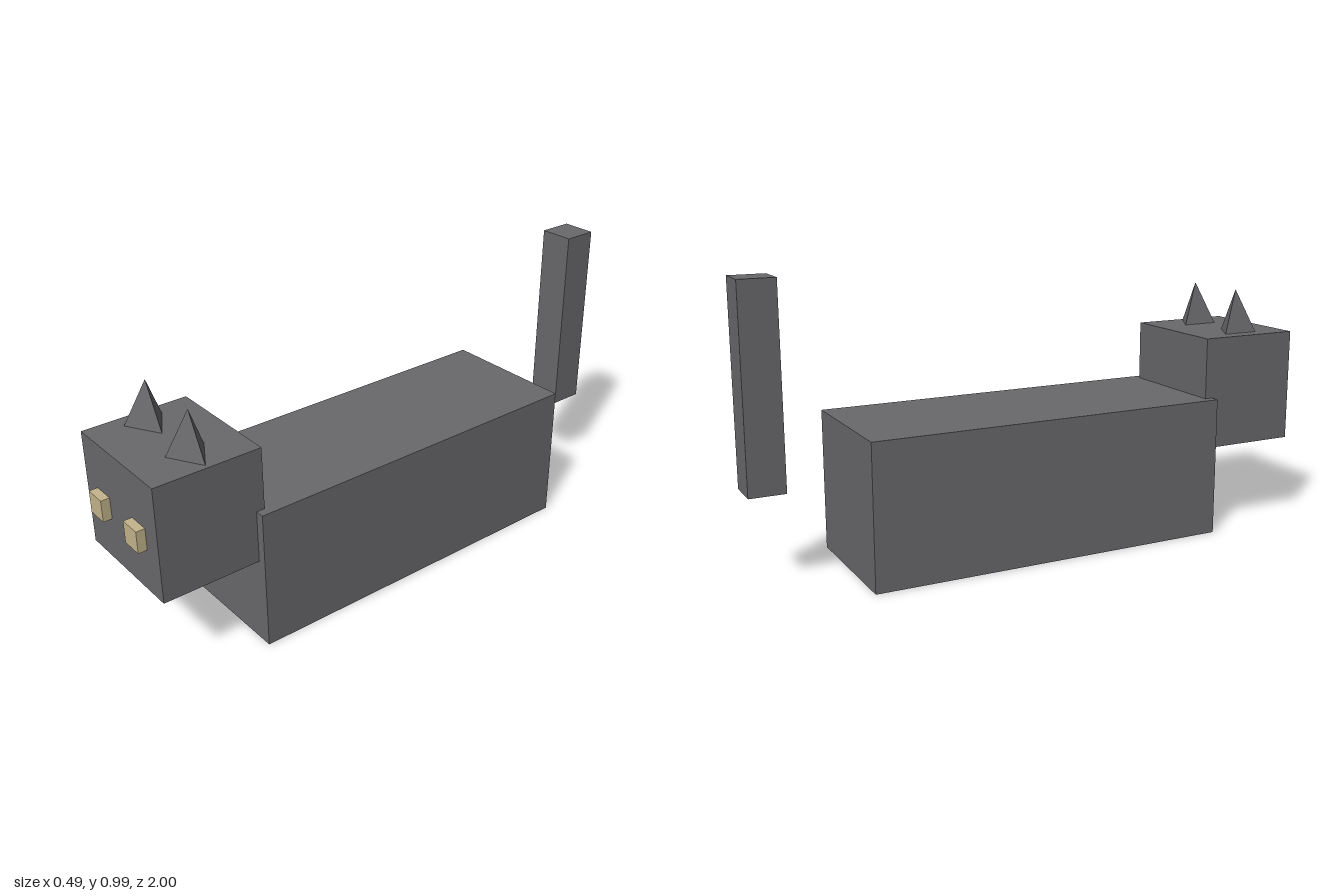
import * as THREE from 'three';

export function createModel() {
  const cat = new THREE.Group();
  cat.name = 'cat';
  const fur = new THREE.MeshStandardMaterial({ name: 'grey fur', color: 0x69696d });
  const eyeColor = new THREE.MeshStandardMaterial({ name: 'tan eye', color: 0xc4b58c });
  const furFaceted = fur;

  const add = (name, geometry, material, x, y, z) => {
    const mesh = new THREE.Mesh(geometry, material);
    mesh.name = name;
    mesh.position.set(x, y, z);
    cat.add(mesh);
  };
  const box = (name, material, w, h, d, x, y, z) =>
    add(name, new THREE.BoxGeometry(w, h, d), material, x, y, z);

  // Body, overlapping head and free-standing upright tail
  box('body', fur, 0.492, 0.492, 1.292, 0, 0.246, -0.016);
  box('head', fur, 0.43, 0.398, 0.37, 0, 0.508, 0.785);
  box('tail', fur, 0.123, 0.676, 0.123, 0, 0.647, -0.9385);

  // Three-sided ears, both with one corner towards +x
  const earGeometry = new THREE.ConeGeometry(0.077, 0.154, 3)
    .rotateY(Math.PI / 2)
    .toNonIndexed();
  earGeometry.computeVertexNormals();

  for (const [side, s] of [['left', 1], ['right', -1]]) {
    add(side + 'Ear', earGeometry, furFaceted, s * 0.1235, 0.784, 0.785);
    box(side + 'Eye', eyeColor, 0.076, 0.076, 0.03, s * 0.1075, 0.501, 0.985);
  }
  return cat;
}
